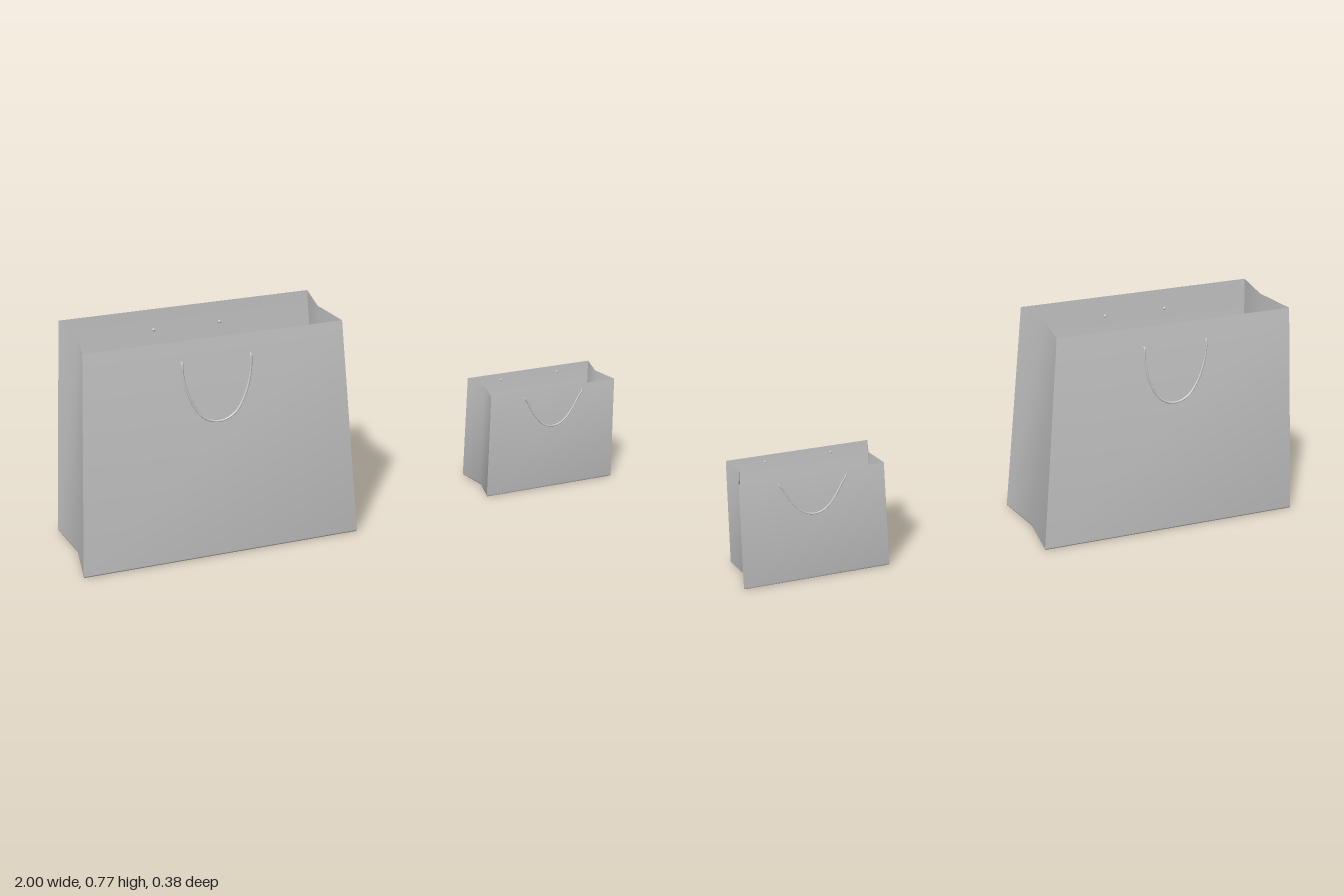
import * as THREE from 'three';
import { toCreasedNormals } from 'three/addons/utils/BufferGeometryUtils.js';

const material = new THREE.MeshStandardMaterial({ color: 0xcccccc, side: THREE.DoubleSide });

// Thin open bag: hexagonal sections with folded-in sides, from the floor to the rim
function bagGeometry({ height, bottom, top, fold }) {
  const bevel = 0.007;
  const levels = [[0, bevel], [bevel * 0.13, bevel * 0.5], [bevel * 0.5, bevel * 0.13], [bevel, 0], [height, 0]];
  const positions = [0, 0, 0];
  for (const [y, inset] of levels) {
    const t = y / height;
    const w = THREE.MathUtils.lerp(bottom[0], top[0], t) - inset;
    const d = THREE.MathUtils.lerp(bottom[1], top[1], t) - inset;
    const section = [[w, d], [w - fold, 0], [w, -d], [-w, -d], [-w + fold, 0], [-w, d]];
    for (const [x, z] of section) positions.push(x, y, z);
  }
  const index = [];
  for (let i = 0; i < 6; i++) {
    const j = (i + 1) % 6;
    index.push(0, 1 + j, 1 + i);
    for (let k = 0; k < levels.length - 1; k++) {
      const a = 1 + k * 6 + i, b = 1 + k * 6 + j;
      index.push(a, b, b + 6, a, b + 6, a + 6);
    }
  }
  const geometry = new THREE.BufferGeometry();
  geometry.setAttribute('position', new THREE.Float32BufferAttribute(positions, 3));
  geometry.setIndex(index);
  return toCreasedNormals(geometry, 0.7);
}

function addMesh(parent, name, geometry) {
  const mesh = new THREE.Mesh(geometry, material);
  mesh.name = name;
  parent.add(mesh);
  return mesh;
}

// Cord that comes through two holes and hangs down the outside of one wall
function makeHandle(bag) {
  const { height, bottom, top, cord } = bag;
  const handle = new THREE.Group();
  const wall = (y) => THREE.MathUtils.lerp(bottom[1], top[1], y / height);
  const endY = cord.points[0][1];
  const lowY = cord.points[cord.points.length - 1][1];
  const half = cord.points.map(([x, y]) =>
    new THREE.Vector3(x, y, wall(y) + cord.radius + cord.gap * (endY - y) / (endY - lowY)));
  const start = new THREE.Vector3(half[0].x, endY, wall(endY) - 0.004);
  const left = [start, ...half];
  const right = left.slice(0, -1).reverse().map((p) => new THREE.Vector3(-p.x, p.y, p.z));
  const curve = new THREE.CatmullRomCurve3([...left, ...right], false, 'centripetal');
  addMesh(handle, 'cord', new THREE.TubeGeometry(curve, 64, cord.radius, 8));
  // Knots on the inside
  for (const side of [-1, 1]) {
    const knot = addMesh(handle, 'knot', new THREE.SphereGeometry(cord.radius * 1.5, 12, 8));
    knot.position.set(side * start.x, start.y, start.z);
  }
  return handle;
}

function makeBag(name, bag) {
  const group = new THREE.Group();
  group.name = name;
  addMesh(group, 'paperBody', bagGeometry(bag));
  const front = makeHandle(bag);
  front.name = 'frontHandle';
  const back = makeHandle(bag);
  back.name = 'backHandle';
  back.rotation.y = Math.PI;
  group.add(front, back);
  group.position.x = bag.x;
  return group;
}

export function createModel() {
  const model = new THREE.Group();
  model.name = 'shoppingBags';
  model.add(
    makeBag('largeBag', {
      x: -0.52, height: 0.77, bottom: [0.48, 0.191], top: [0.435, 0.167], fold: 0.024,
      cord: {
        radius: 0.0038, gap: 0.004,
        points: [[-0.116, 0.697], [-0.113, 0.64], [-0.094, 0.57], [-0.062, 0.513], [-0.03, 0.49], [0, 0.484]],
      },
    }),
    makeBag('smallBag', {
      x: 0.748, height: 0.385, bottom: [0.252, 0.103], top: [0.245, 0.098], fold: 0.024,
      cord: {
        radius: 0.003, gap: 0.002,
        points: [[-0.114, 0.362], [-0.1, 0.339], [-0.075, 0.296], [-0.05, 0.264], [-0.025, 0.247], [0, 0.242]],
      },
    }),
  );
  return model;
}
